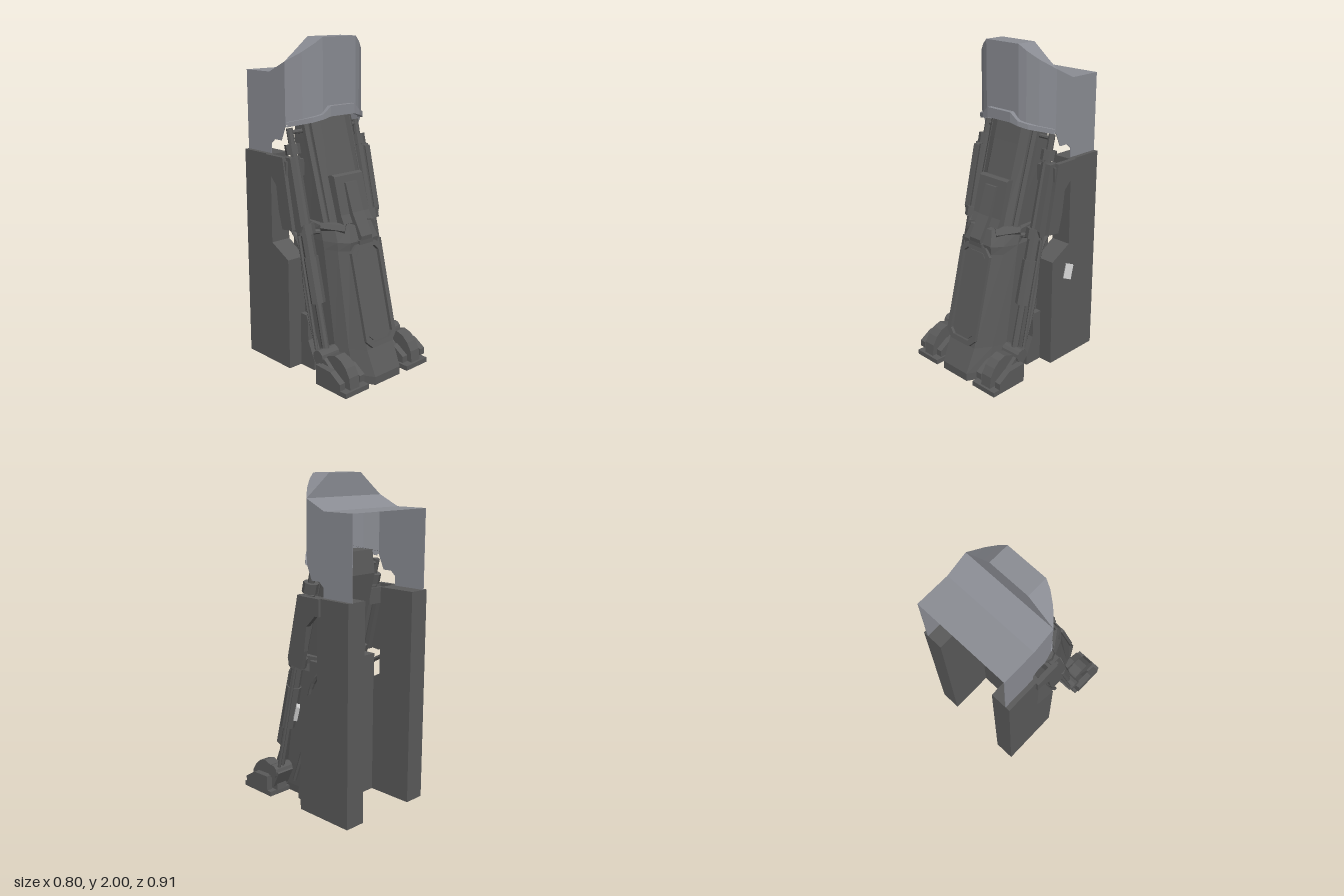
import * as THREE from 'three';

const mat = (color) => new THREE.MeshStandardMaterial({ color, flatShading: true, side: THREE.DoubleSide });

export function createModel() {
  const root = new THREE.Group();
  const body = new THREE.Group();
  body.name = 'legAssembly';
  body.position.x = -0.035;
  root.add(body);
  const dark = mat(0x5a5a5a), pale = mat(0x8a8c93), grey = mat(0xcccccc);

  const add = (name, geo, m = dark, parent = body) => {
    const mesh = new THREE.Mesh(geo, m);
    mesh.name = name;
    parent.add(mesh);
    return mesh;
  };
  // box from its minimum and maximum corners
  const box = (name, a, b, m) => {
    const g = new THREE.BoxGeometry(...a.map((v, i) => Math.abs(b[i] - v)));
    g.translate(...a.map((v, i) => (v + b[i]) / 2));
    return add(name, g, m);
  };
  // side outline in [z, y], extruded along x between two positions
  const profile = (name, pts, x0, x1, m) => {
    const shape = new THREE.Shape(pts.map((p) => new THREE.Vector2(p[0], p[1])));
    const g = new THREE.ExtrudeGeometry(shape, { depth: Math.abs(x1 - x0), bevelEnabled: false });
    g.rotateY(-Math.PI / 2).translate(Math.max(x0, x1), 0, 0);
    return add(name, g, m);
  };
  // straight round part between two points
  const rod = (name, a, b, r0, r1 = r0, n = 8) => {
    const A = new THREE.Vector3(...a), B = new THREE.Vector3(...b), d = B.clone().sub(A);
    const mesh = add(name, new THREE.CylinderGeometry(r1, r0, d.length(), n));
    mesh.position.copy(A).add(B).multiplyScalar(0.5);
    mesh.quaternion.setFromUnitVectors(new THREE.Vector3(0, 1, 0), d.normalize());
    return mesh;
  };
  // skin over rings of [x, y, z]; closed rings also get end caps
  const loft = (name, rings, closed, m) => {
    const n = rings[0].length, idx = [], last = (rings.length - 1) * n;
    for (let r = 0; r < rings.length - 1; r++)
      for (let i = 0; i < (closed ? n : n - 1); i++) {
        const a = r * n + i, b = r * n + ((i + 1) % n);
        idx.push(a, b, b + n, a, b + n, a + n);
      }
    if (closed) for (let i = 1; i < n - 1; i++) idx.push(0, i + 1, i, last, last + i, last + i + 1);
    const g = new THREE.BufferGeometry();
    g.setAttribute('position', new THREE.Float32BufferAttribute(rings.flat(2), 3));
    g.setIndex(idx);
    g.computeVertexNormals();
    return add(name, g, m);
  };
  // mirrored closed plan ring at height y, half given front to back as [x, z]
  const ring = (y, half) => [
    ...half.map(([x, z]) => [x, y, z]),
    ...half.slice().reverse().map(([x, z]) => [-x, y, z]),
  ];
  // mirrored open ring running from -x to +x, half given centre outwards
  const arc = (half) => [
    ...half.slice().reverse().map(([x, y, z]) => [-x, y, z]),
    ...half,
  ];

  // hood: curved front with chamfered top, roof and two side walls, open behind
  const plan = [[0.13, 0.03, 2, 1.55], [0.175, 0.012, 1.965, 1.54], [0.235, -0.03, 1.918, 1.52], [0.305, -0.1, 1.865, 1.5]];
  loft('hoodFront', [
    arc(plan.map(([x, z, , b]) => [x, b, z])),
    arc(plan.map(([x, z, t]) => [x, t, z])),
    arc(plan.map(([x, , t]) => [x, t, -0.1])),
    arc(plan.map(([x]) => [x, 1.865, -0.1])),
  ], false, pale);
  loft('hoodRoof', [[-0.1, 1.865], [-0.24, 1.8], [-0.455, 1.8]].map(([z, y]) => arc([[0.305, y, z]])), false, pale);
  const lip = [[0.095, 1.61, 1.55, 0.06], [0.145, 1.565, 1.535, 0.05], [0.2, 1.55, 1.52, 0.02], [0.303, 1.52, 1.492, -0.085]];
  loft('hoodLip', [
    arc(lip.map(([x, , b, z]) => [x * 0.98, b, z - 0.04])),
    arc(lip.map(([x, , b, z]) => [x, b, z])),
    arc(lip.map(([x, t, , z]) => [x, t, z])),
    arc(lip.map(([x, t, , z]) => [x * 0.98, t, z - 0.04])),
  ], false, pale);

  // central lower shell with toe
  loft('lowerShell', [
    ring(0, [[0.105, 0.45], [0.17, 0.33], [0.19, 0.24], [0.19, -0.02]]),
    ring(0.05, [[0.105, 0.45], [0.17, 0.33], [0.195, 0.24], [0.195, -0.02]]),
    ring(0.2, [[0.11, 0.385], [0.17, 0.29], [0.2, 0.2], [0.2, -0.03]]),
    ring(0.78, [[0.115, 0.24], [0.165, 0.19], [0.2, 0.11], [0.2, -0.06]]),
    ring(0.83, [[0.115, 0.245], [0.165, 0.19], [0.2, 0.1], [0.2, -0.07]]),
    ring(0.92, [[0.09, 0.21], [0.155, 0.15], [0.195, 0.07], [0.17, -0.07]]),
  ], true);
  // shin panel: octagonal frame around a slightly sunk plate, tilted with the shell
  const octagon = (w, h, c) => [[-w, -h + c], [-w + c, -h], [w - c, -h], [w, -h + c], [w, h - c], [w - c, h], [c - w, h], [-w, h - c]]
    .map((p) => new THREE.Vector2(...p));
  const shin = new THREE.Group();
  shin.name = 'shinPanel';
  shin.position.set(0, 0.51, 0.312);
  shin.rotation.x = -0.245;
  body.add(shin);
  const frame = new THREE.Shape(octagon(0.125, 0.31, 0.045));
  frame.holes.push(new THREE.Path(octagon(0.095, 0.28, 0.03).reverse()));
  add('shinFrame', new THREE.ExtrudeGeometry(frame, { depth: 0.02, bevelEnabled: false }), dark, shin);
  add('shinPlate', new THREE.ExtrudeGeometry(new THREE.Shape(octagon(0.085, 0.27, 0.03)), { depth: 0.008, bevelEnabled: false }), dark, shin);

  // upper column, leaning back, with trim and knee plate
  loft('upperColumn', [
    ring(0.85, [[0.1, 0.17], [0.15, 0.13], [0.15, -0.07]]),
    ring(1.41, [[0.1, 0.0], [0.155, -0.02], [0.165, -0.19]]),
    ring(1.55, [[0.1, -0.04], [0.155, -0.06], [0.165, -0.17]]),
  ], true);
  profile('kneePlate', [[0.19, 0.93], [0.165, 0.98], [0.105, 1.2], [0.085, 1.21], [0.05, 1.2], [0.12, 0.9]], -0.115, 0.115);
  profile('kneeLatch', [[0.26, 0.82], [0.265, 0.86], [0.19, 0.99], [0.13, 1.16], [0.1, 1.16], [0.16, 0.96], [0.21, 0.82]], -0.045, 0.045);
  box('latchFoot', [-0.055, 0.81, 0.2], [0.055, 0.835, 0.262]);
  // block behind the leg
  box('rearBlock', [-0.205, 0, -0.16], [0.205, 0.9, -0.01]);

  for (const s of [-1, 1]) {
    // hood side wall
    profile('hoodSide', [[-0.1, 1.865], [-0.24, 1.8], [-0.455, 1.8], [-0.455, 1.32], [-0.235, 1.32], [-0.235, 1.38],
      [-0.2, 1.41], [-0.14, 1.41], [-0.1, 1.5]], s * 0.301, s * 0.305, pale);
    // rear tower
    profile('rearTower', [[-0.455, 0], [-0.455, 1.322], [-0.21, 1.322], [-0.21, 0.78], [-0.062, 0.7], [-0.062, 0]], s * 0.2, s * 0.333);
    profile('towerSkirt', [[-0.07, 0], [-0.07, 0.34], [-0.01, 0.34], [0.005, 0.3], [0.005, 0.18], [0.06, 0.06], [0.06, 0]], s * 0.19, s * 0.24);
    // side guard between tower and strut
    profile('sideGuard', [[-0.24, 1.322], [-0.08, 1.322], [-0.05, 1.16], [0.0, 0.9], [-0.09, 0.89], [-0.12, 1.0], [-0.14, 1.15],
      [-0.21, 1.22], [-0.24, 1.22]], s * 0.32, s * 0.35);
    profile('guardRib', [[-0.1, 1.32], [-0.04, 1.32], [0.05, 0.93], [0.04, 0.89], [-0.03, 0.89], [-0.1, 1.2]], s * 0.285, s * 0.325);
    box('guardBracket', [s * 0.2, 1.2, -0.12], [s * 0.34, 1.3, -0.06]);
    // column edge rail and knee collar
    rod('columnRail', [s * 0.165, 0.93, 0.08], [s * 0.17, 1.53, -0.09], 0.025, 0.025, 6);
    rod('kneeCollar', [s * 0.1, 0.9, 0.19], [s * 0.185, 0.91, 0.07], 0.035, 0.03, 6);
    // hydraulic strut: stepped sections along one slanted line
    const at = (y) => [s * 0.265, y, 0.2 - ((y - 0.165) / 1.255) * 0.3];
    for (const [name, y0, y1, r, n] of [
      ['strutLowerRod', 0.165, 0.5, 0.022, 8], ['strutSleeve', 0.47, 0.74, 0.046, 8], ['strutBarrel', 0.72, 0.88, 0.038, 8],
      ['strutCollar', 0.87, 0.93, 0.055, 8], ['strutCylinder', 0.92, 1.32, 0.034, 8], ['strutCollar', 1.33, 1.39, 0.046, 8],
      ['strutUpperRod', 1.3, 1.48, 0.02, 8],
    ]) rod(name, at(y0), at(y1), r, r, n);
    rod('strutSideRod', [s * 0.31, 0.2, 0.16], [s * 0.305, 0.9, 0.0], 0.011, 0.011, 6);
    rod('strutTopBar', [s * 0.13, 1.455, -0.11], [s * 0.275, 1.455, -0.11], 0.013);
    rod('strutMidBar', [s * 0.17, 0.88, 0.075], [s * 0.265, 0.88, 0.03], 0.015);
    // rear hose
    const hose = new THREE.CatmullRomCurve3([[-0.21, 0.89], [-0.12, 0.84], [-0.055, 0.74], [-0.02, 0.5], [0.03, 0.3], [0.1, 0.11]]
      .map(([z, y]) => new THREE.Vector3(s * 0.235, y, z)));
    add('hose', new THREE.TubeGeometry(hose, 20, 0.014, 6));
    // foot with arched guard and ankle joint
    box('footPad', [s * 0.165, 0, 0.2], [s * 0.35, 0.03, 0.455]);
    profile('footArch', [[0.44, 0.03], [0.43, 0.1], [0.4, 0.15], [0.36, 0.185], [0.31, 0.2], [0.25, 0.18], [0.2, 0.13], [0.19, 0.03]],
      s * 0.225, s * 0.3);
    profile('footLink', [[0.38, 0.03], [0.3, 0.12], [0.2, 0.2], [0.15, 0.16], [0.2, 0.06]], s * 0.205, s * 0.325);
    for (const [a, b] of [[0.165, 0.205], [0.325, 0.365]])
      profile('footCheek', [[0.42, 0.04], [0.42, 0.08], [0.34, 0.13], [0.215, 0.135], [0.215, 0.04]], s * a, s * b);
    rod('ankleJoint', [s * 0.2, 0.165, 0.2], [s * 0.335, 0.165, 0.2], 0.042, 0.042, 12);
  }

  // loose slanted chip beside the tower
  const chip = add('chip', new THREE.BoxGeometry(0.022, 0.09, 0.045), grey, root);
  chip.position.set(0.375, 0.65, -0.12);
  chip.rotation.set(-0.25, -0.75, 0.03);
  return root;
}
